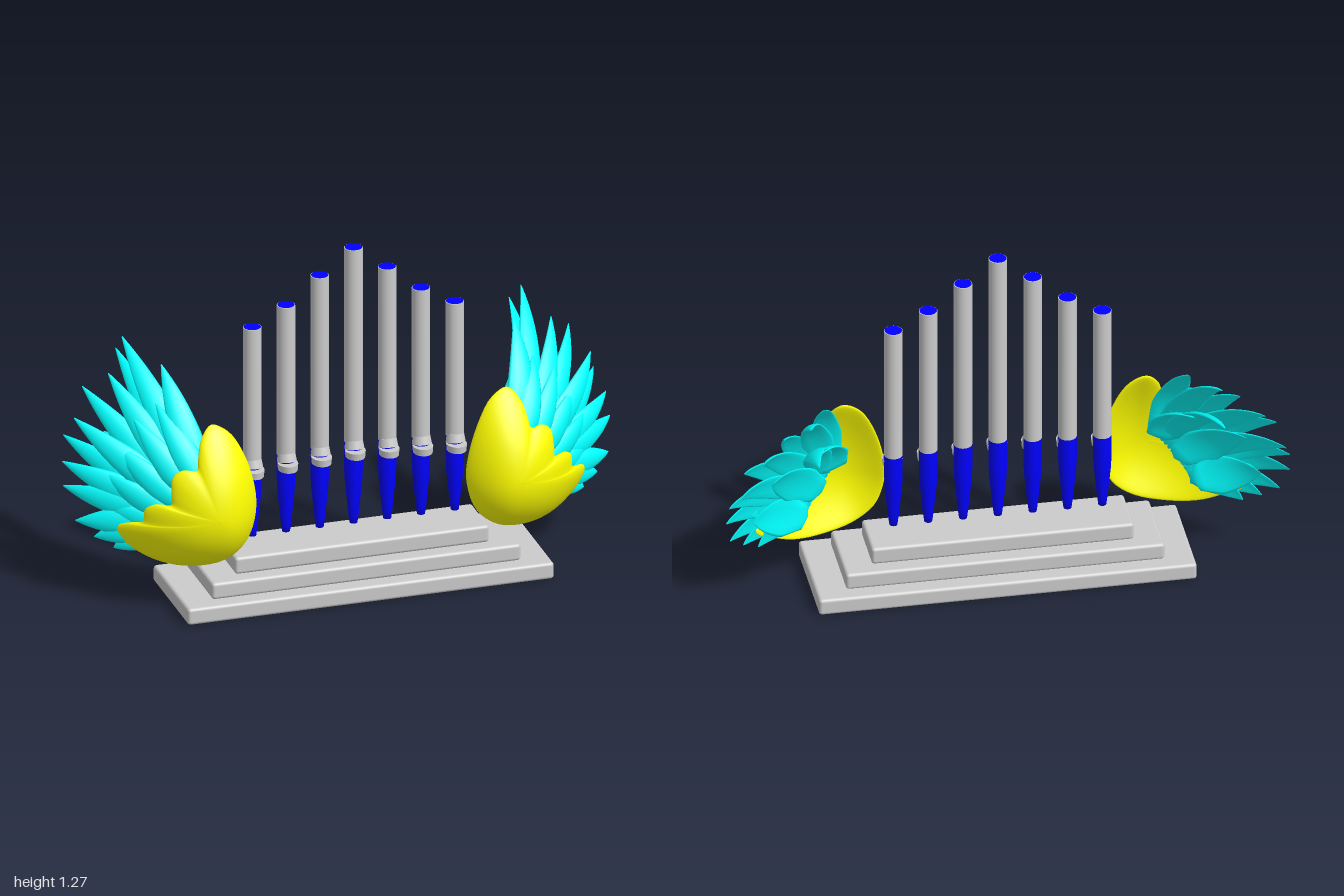
import * as THREE from 'three';
import { RoundedBoxGeometry } from 'three/addons/geometries/RoundedBoxGeometry.js';

const V = (x, y, z) => new THREE.Vector3(x, y, z);
const paint = (color) => new THREE.MeshStandardMaterial({ color });
const grey = paint(0xcccccc), blue = paint(0x0000ff), yellow = paint(0xffff00), cyan = paint(0x00ffff);
const CZ = 0.135; // depth of the pipe row

function add(parent, name, geometry, material, x = 0, y = 0, z = 0) {
  const mesh = new THREE.Mesh(geometry, material);
  mesh.name = name;
  mesh.position.set(x, y, z);
  parent.add(mesh);
  return mesh;
}

// Skin a row of closed rings; side = -1 gives the mirrored copy
function loft(rings, side) {
  const n = rings[0].length, pos = [], idx = [];
  rings.forEach((ring) => ring.forEach((p) => pos.push(p.x * side, p.y, p.z)));
  for (let i = 0; i < rings.length - 1; i++) {
    for (let j = 0; j < n; j++) {
      const a = i * n + j, b = i * n + (j + 1) % n, c = a + n, d = b + n;
      if (side > 0) idx.push(a, b, c, b, d, c);
      else idx.push(a, c, b, b, c, d);
    }
  }
  const g = new THREE.BufferGeometry();
  g.setAttribute('position', new THREE.Float32BufferAttribute(pos, 3));
  g.setIndex(idx);
  g.computeVertexNormals();
  return g;
}

// Curved blade with a lens section; u runs from the top (0) to the bottom (1) of the fan
function featherGeometry(tip, u, width, rootShift, side) {
  const root = V(0.57, 0.45, 0.20).lerp(V(0.68, 0.31, 0.13), u);
  root.z += rootShift;
  const facing = V(0.25, 0.55, 0.8).lerp(V(0.7, 0.05, 0.7), u);
  const bend = root.clone().lerp(tip, 0.5).addScaledVector(facing, 0.24 * root.distanceTo(tip));
  const curve = new THREE.QuadraticBezierCurve3(root, bend, tip);
  const rings = [], steps = 16, around = 12;
  for (let i = 0; i <= steps; i++) {
    const t = i / steps, c = curve.getPoint(t), T = curve.getTangent(t);
    const W = facing.clone().cross(T).normalize(), N = T.clone().cross(W);
    const taper = Math.min(1, 0.5 + 1.5 * t) * (1 - t ** 2.5);
    const w = i === 0 ? 0.002 : width * taper + 0.002;
    const h = i === 0 ? 0.002 : 0.017 * (1 - 0.7 * t) * Math.sqrt(1 - t * t) + 0.001;
    rings.push(Array.from({ length: around }, (_, j) => {
      const a = (j / around) * Math.PI * 2;
      // edges droop slightly away from the facing side
      const lift = Math.sin(a) * h - 0.2 * w * Math.cos(a) ** 2;
      return c.clone().addScaledVector(W, Math.cos(a) * w).addScaledVector(N, lift);
    }));
  }
  return loft(rings, side);
}

// Wing shell outline, clockwise from the top, with a wavy outer edge
const OUTLINE = [
  [0.54, 0.69], [0.582, 0.65], [0.602, 0.59], [0.612, 0.55], [0.655, 0.55], [0.69, 0.525],
  [0.70, 0.465], [0.702, 0.425], [0.75, 0.42], [0.78, 0.395], [0.788, 0.345], [0.835, 0.325],
  [0.87, 0.288], [0.855, 0.26], [0.80, 0.22], [0.72, 0.18], [0.62, 0.165], [0.50, 0.185],
  [0.42, 0.25], [0.385, 0.36], [0.392, 0.46], [0.43, 0.58], [0.48, 0.66],
];

function shellDepth(x, y) {
  const dx = x - 0.53, dy = y - 0.37;
  return 0.305 - (dx > 0 ? 1.86 : 3.8) * dx * dx - (dy > 0 ? 1.07 : 2.1) * dy * dy;
}

function shellGeometry(side) {
  const edge = new THREE.CatmullRomCurve3(OUTLINE.map(([x, y]) => V(x, y, 0)), true).getPoints(96);
  edge.pop();
  const rings = [], steps = 28;
  for (let i = 0; i <= steps; i++) {
    const phi = (i / steps) * Math.PI, r = Math.max(Math.sin(phi), 0.001);
    rings.push(edge.map((p) => {
      const x = 0.55 + (p.x - 0.55) * r, y = 0.38 + (p.y - 0.38) * r;
      return V(x, y, shellDepth(x, y) + Math.cos(phi) * 0.034);
    }));
  }
  return loft(rings, side);
}

// Feather layers: tips run from the top of the fan to the bottom
const LAYERS = [
  { name: 'longFeather', width: 0.058, rootShift: 0, tips: [
    [0.645, 0.83, -0.05], [0.73, 0.87, -0.235], [0.72, 0.78, -0.34], [0.81, 0.78, -0.14],
    [0.89, 0.72, -0.19], [0.945, 0.64, -0.11], [0.97, 0.56, -0.155], [0.995, 0.49, -0.09],
    [1.0, 0.41, -0.06], [0.975, 0.30, 0], [0.92, 0.25, 0.045], [0.86, 0.215, 0.08]] },
  { name: 'coverFeather', width: 0.052, rootShift: 0.03, tips: [
    [0.69, 0.72, 0.03], [0.77, 0.67, 0.03], [0.84, 0.58, 0.02], [0.88, 0.48, 0.03], [0.89, 0.37, 0.04]] },
  { name: 'backFeather', width: 0.08, rootShift: -0.03, tips: [
    [0.66, 0.66, -0.06], [0.84, 0.58, -0.10], [0.90, 0.40, -0.05]] },
];

function makeWing(side) {
  const wing = new THREE.Group();
  wing.name = side > 0 ? 'leftWing' : 'rightWing';
  add(wing, 'wingShell', shellGeometry(side), yellow);
  LAYERS.forEach(({ name, width, rootShift, tips }) => tips.forEach((tip, i) => {
    const u = i / (tips.length - 1);
    add(wing, name, featherGeometry(V(...tip), u, width, rootShift, side), cyan);
  }));
  return wing;
}

function makePipe(x, top, mouthY) {
  const pipe = new THREE.Group(), R = 0.0325;
  pipe.name = 'organPipe';
  pipe.position.set(x, 0, CZ);
  const joint = mouthY + 0.05;
  // tapered foot
  const foot = [[0, 0.22], [0.014, 0.22], [0.018, 0.25], [0.030, 0.37], [R, 0.42], [R, joint]];
  add(pipe, 'pipeFoot', new THREE.LatheGeometry(foot.map((p) => new THREE.Vector2(...p)), 32), blue);
  // body and coloured end disc
  add(pipe, 'pipeBody', new THREE.CylinderGeometry(R, R, top - joint, 32), grey, 0, (top + joint) / 2);
  add(pipe, 'pipeCap', new THREE.CircleGeometry(R - 0.002, 32), blue, 0, top + 0.001).rotation.x = -Math.PI / 2;
  // mouth: oval lower lip, and a sloping upper lip
  const lip = add(pipe, 'lowerLip', new THREE.CylinderGeometry(0.036, 0.034, 0.025, 32), grey, 0, mouthY + 0.0125, 0.021);
  lip.scale.z = 1.2;
  const upper = add(pipe, 'upperLip', new THREE.CylinderGeometry(0.031, 0.035, 0.03, 32), grey, 0, mouthY + 0.042, 0.008);
  upper.rotation.x = -0.2;
  return pipe;
}

export function createModel() {
  const model = new THREE.Group();
  model.name = 'wingedPipeOrgan';

  // Stepped base: width, bottom, height, depth
  [[1.34, 0, 0.062, 0.41], [1.13, 0.062, 0.062, 0.305], [0.93, 0.124, 0.064, 0.205]].forEach(([w, y, h, d]) =>
    add(model, 'baseStep', new RoundedBoxGeometry(w, h, d, 4, 0.012), grey, 0, y + h / 2, CZ + 0.002));

  // Row of pipes, tallest in the middle
  const tops = [1.27, 1.18, 1.083, 1.015];
  for (let i = -3; i <= 3; i++) {
    const k = Math.abs(i);
    model.add(makePipe(i * 0.1235, tops[k], 0.48 - 0.008 * k));
  }

  model.add(makeWing(1), makeWing(-1));
  return model;
}
